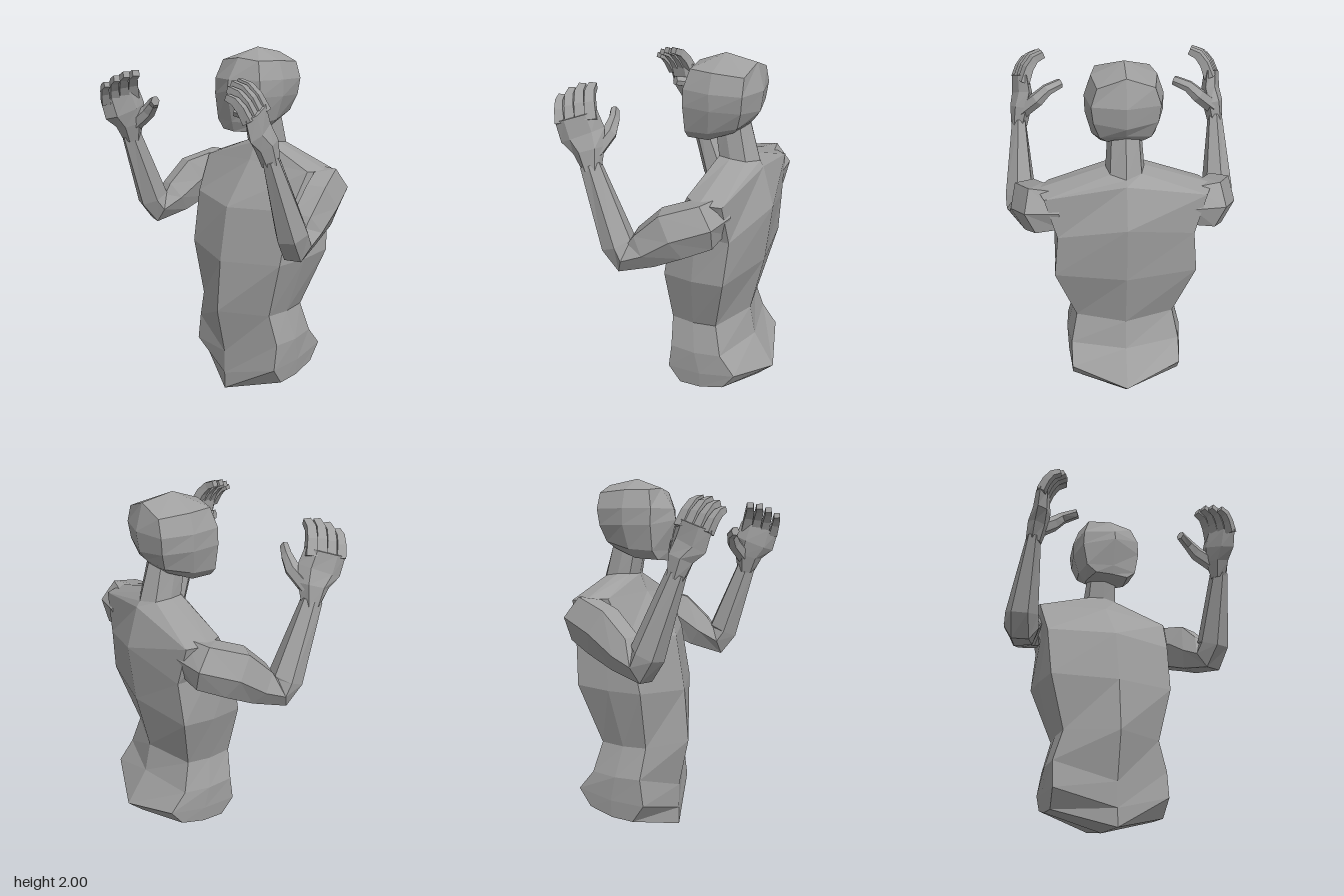
import * as THREE from 'three';

// Skin a stack of closed rings (counterclockwise about the path), with fans at both ends.
function loft(rings, startTip, endTip) {
  const mean = (r) => r.reduce((s, p) => s.add(p), new THREE.Vector3()).divideScalar(r.length);
  const out = [];
  const tri = (a, b, c) => out.push(...a.toArray(), ...b.toArray(), ...c.toArray());
  const n = rings[0].length;
  const first = rings[0], last = rings[rings.length - 1];
  const p0 = startTip || mean(first), p1 = endTip || mean(last);
  for (let j = 0; j < n; j++) {
    const k = (j + 1) % n;
    for (let i = 0; i + 1 < rings.length; i++) {
      const lo = rings[i], hi = rings[i + 1];
      tri(lo[j], lo[k], hi[k]);
      tri(lo[j], hi[k], hi[j]);
    }
    tri(p0, first[k], first[j]);
    tri(p1, last[j], last[k]);
  }
  const g = new THREE.BufferGeometry();
  g.setAttribute('position', new THREE.Float32BufferAttribute(out, 3));
  g.computeVertexNormals();
  return g;
}

const V = (x, y, z) => new THREE.Vector3(x, y, z);

// Symmetric eight-point ring: front centre [y,z], front corner, side, back corner [x,y,z], back centre [y,z].
function bodyRing([fc, f, m, b, bc]) {
  const half = [f, m, b];
  return [V(0, ...fc), ...half.map((p) => V(...p)), V(0, ...bc),
    ...half.slice().reverse().map((p) => V(-p[0], p[1], p[2]))];
}

// Rings swept along stations [x, y, z, radius along ref, other radius]; side -1 mirrors them.
function limb(stations, ref, side, n = 6) {
  const c = stations.map((s) => V(s[0], s[1], s[2]));
  const rings = stations.map((s, i) => {
    const t = V(0, 0, 0);
    if (i > 0) t.add(c[i].clone().sub(c[i - 1]).normalize());
    if (i + 1 < c.length) t.add(c[i + 1].clone().sub(c[i]).normalize());
    t.normalize();
    const u = V(...ref).addScaledVector(t, -V(...ref).dot(t)).normalize();
    const w = t.clone().cross(u);
    const ring = [];
    for (let j = 0; j < n; j++) {
      const a = ((j + (n === 4 ? 0.5 : 0)) / n) * Math.PI * 2;
      const p = c[i].clone().addScaledVector(u, Math.cos(a) * s[3]).addScaledVector(w, Math.sin(a) * s[4]);
      p.x *= side;
      ring.push(p);
    }
    return side < 0 ? ring.reverse() : ring;
  });
  return loft(rings);
}

export function createModel() {
  const model = new THREE.Group();
  model.name = 'figure';
  const grey = new THREE.MeshStandardMaterial({ color: 0xa0a0a0 });
  grey.name = 'grey';
  const add = (parent, name, geometry) => {
    const mesh = new THREE.Mesh(geometry, grey);
    mesh.name = name;
    parent.add(mesh);
  };

  // Torso, from the hips to the base of the neck
  const neckBase = [[1.47, -0.165], [0.085, 1.47, -0.19], [0.1, 1.47, -0.26], [0.08, 1.46, -0.34], [1.45, -0.39]];
  const torso = [
    [[0, 0.08], [0.32, 0.1, -0.07], [0.32, 0.11, -0.2], [0.31, 0.15, -0.34], [0.07, -0.43]],
    [[0.1, 0.08], [0.33, 0.2, 0], [0.33, 0.21, -0.2], [0.31, 0.25, -0.41], [0.164, -0.525]],
    [[0.24, 0.08], [0.33, 0.35, -0.02], [0.335, 0.35, -0.17], [0.31, 0.36, -0.32], [0.36, -0.4]],
    [[0.51, 0.137], [0.28, 0.52, -0.005], [0.29, 0.52, -0.14], [0.275, 0.53, -0.275], [0.53, -0.365]],
    [[0.81, 0.112], [0.36, 0.84, 0], [0.385, 0.85, -0.18], [0.385, 0.87, -0.365], [0.87, -0.44]],
    [[1.12, 0.06], [0.375, 1.14, -0.06], [0.38, 1.13, -0.2], [0.36, 1.12, -0.385], [1.2, -0.475]],
    [[1.37, -0.12], [0.4, 1.35, -0.165], [0.46, 1.35, -0.26], [0.42, 1.34, -0.37], [1.42, -0.41]],
    neckBase,
  ];
  add(model, 'torso', loft(torso.map(bodyRing), V(0, 0.02, -0.18)));

  // Neck
  const neckTop = [[1.58, -0.145], [0.08, 1.58, -0.17], [0.09, 1.6, -0.23], [0.07, 1.63, -0.3], [1.65, -0.33]];
  add(model, 'neck', loft([neckBase, neckTop].map(bodyRing)));

  // Head
  const head = [
    [[1.545, 0.005], [0.1, 1.55, -0.01], [0.12, 1.56, -0.14], [0.09, 1.61, -0.27], [1.63, -0.31]],
    [[1.6, 0.02], [0.155, 1.6, -0.02], [0.165, 1.61, -0.16], [0.13, 1.65, -0.31], [1.67, -0.345]],
    [[1.77, 0.056], [0.18, 1.74, -0.02], [0.198, 1.74, -0.18], [0.16, 1.74, -0.34], [1.72, -0.38]],
    [[1.83, 0.045], [0.175, 1.83, -0.02], [0.2, 1.83, -0.18], [0.17, 1.83, -0.35], [1.83, -0.395]],
    [[1.945, -0.03], [0.14, 1.93, -0.045], [0.165, 1.93, -0.18], [0.14, 1.92, -0.345], [1.97, -0.355]],
  ];
  add(model, 'head', loft(head.map(bodyRing), null, V(0, 2, -0.18)));

  // Arms and hands
  const armPath = [
    [0.33, 1.25, -0.29, 0.1, 0.12], [0.45, 1.24, -0.27, 0.12, 0.14], [0.51, 1.19, -0.14, 0.105, 0.15],
    [0.535, 1.09, 0, 0.1, 0.115], [0.565, 1.035, 0.11, 0.095, 0.1], [0.575, 1.1, 0.145, 0.09, 0.095],
    [0.565, 1.5, 0.295, 0.04, 0.06],
  ];
  const palmPath = [
    [0.565, 1.47, 0.29, 0.05, 0.045], [0.55, 1.57, 0.31, 0.085, 0.055],
    [0.54, 1.64, 0.35, 0.12, 0.045], [0.545, 1.735, 0.38, 0.115, 0.035],
  ];
  const thumbPath = [
    [0.54, 1.56, 0.285, 0.045, 0.045], [0.45, 1.64, 0.25, 0.042, 0.042],
    [0.395, 1.69, 0.255, 0.03, 0.034], [0.32, 1.71, 0.3, 0.024, 0.028],
  ];
  const across = [0.35, 0, 0.94];
  const mix = THREE.MathUtils.lerp;
  for (const side of [1, -1]) {
    const word = side > 0 ? 'left' : 'right';
    add(model, word + 'Arm', limb(armPath, [1, 0, -0.4], side));
    const hand = new THREE.Group();
    hand.name = word + 'Hand';
    model.add(hand);
    add(hand, 'palm', limb(palmPath, across, side));
    add(hand, 'thumb', limb(thumbPath, [0, 0, 1], side));
    // Four curled fingers, from index to little finger
    for (let i = 0; i < 4; i++) {
      const k = i / 3;
      const x = mix(0.525, 0.575, k), y = mix(1.72, 1.69, k), z = mix(0.3, 0.455, k);
      const reach = mix(1, 0.8, k) * (i === 1 || i === 2 ? 1.1 : 1), r = mix(0.037, 0.031, k);
      const at = (dx, dy, dz, s) => [x + dx * reach, y + dy * reach, z + dz * reach, r * s, r * s * 0.9];
      add(hand, 'finger' + (i + 1), limb(
        [at(0, 0, 0, 1.1), at(-0.03, 0.075, 0.025, 1), at(-0.065, 0.12, 0.045, 0.9), at(-0.115, 0.14, 0.06, 0.75)],
        across, side, 4));
    }
  }
  return model;
}
